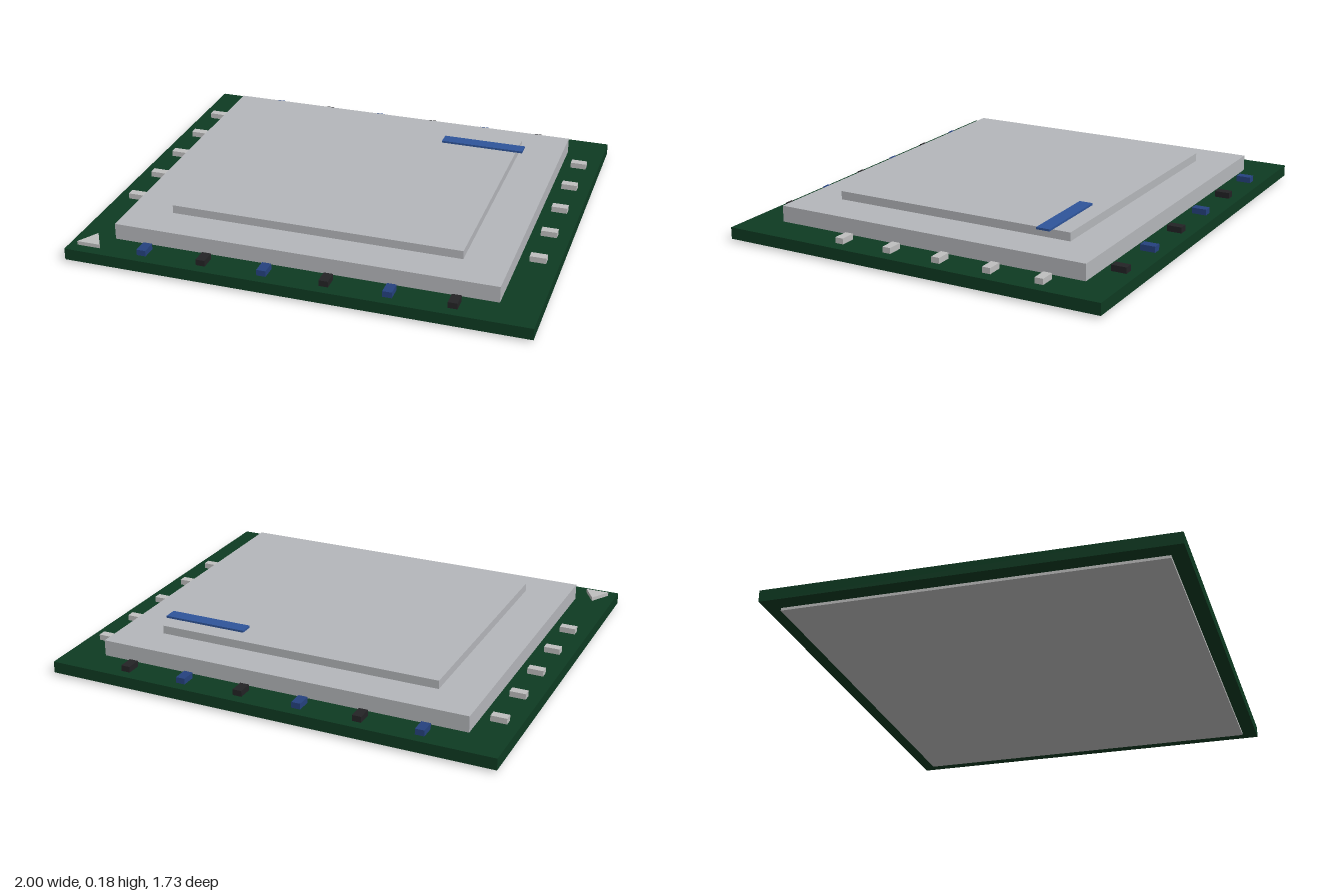
import * as THREE from 'three';

const mat = (name, color) => {
  const m = new THREE.MeshStandardMaterial({ color });
  m.name = name;
  return m;
};

export function createModel() {
  const model = new THREE.Group();
  model.name = 'processorPackage';

  const green = mat('boardGreen', 0x0e3b22);
  const metal = mat('lidMetal', 0xb5b7bb);
  const silver = mat('contactSilver', 0xbfbfbf);
  const blue = mat('markBlue', 0x2f559b);
  const darkBlue = mat('capacitorBlue', 0x25427f);
  const black = mat('capacitorBlack', 0x232325);

  // Box given by its centre in x and z, its bottom and its top
  function box(name, material, w, d, y0, y1, x = 0, z = 0) {
    const mesh = new THREE.Mesh(new THREE.BoxGeometry(w, y1 - y0, d), material);
    mesh.name = name;
    mesh.position.set(x, (y0 + y1) / 2, z);
    model.add(mesh);
    return mesh;
  }

  const top = 0.063; // upper face of the board

  // Contact pad, board and two-step heat spreader
  box('contactPad', silver, 1.85, 1.605, 0, 0.012);
  box('board', green, 2, 1.732, 0.012, top);
  box('lidBase', metal, 1.666, 1.44, top, 0.134);
  box('lidTop', metal, 1.28, 1.106, 0.134, 0.171);

  // Marking bar, slightly past the edge of the raised lid
  box('markingBar', blue, 0.38, 0.06, 0.171, 0.18, 0.48, -0.445);

  // Capacitors along the front and back edges, alternating in colour
  for (const z of [-0.788, 0.788]) {
    for (let i = 0; i < 6; i++) {
      box('edgeCapacitor', i % 2 ? black : darkBlue, 0.04, 0.066, top, 0.089, -0.667 + i * 0.2668, z);
    }
  }

  // Contacts along the left and right edges
  for (const x of [-0.91, 0.91]) {
    for (let i = 0; i < 5; i++) {
      box('sideContact', silver, 0.07, 0.037, top, 0.088, x, -0.578 + i * 0.2313);
    }
  }

  // Triangular corner marker pointing to the back
  const marker = new THREE.Mesh(
    new THREE.CylinderGeometry(0.061, 0.061, 0.017, 3).toNonIndexed(), silver);
  marker.geometry.computeVertexNormals();
  marker.name = 'cornerMarker';
  marker.rotation.y = Math.PI;
  marker.position.set(-0.911, top + 0.0085, 0.787);
  model.add(marker);

  return model;
}
